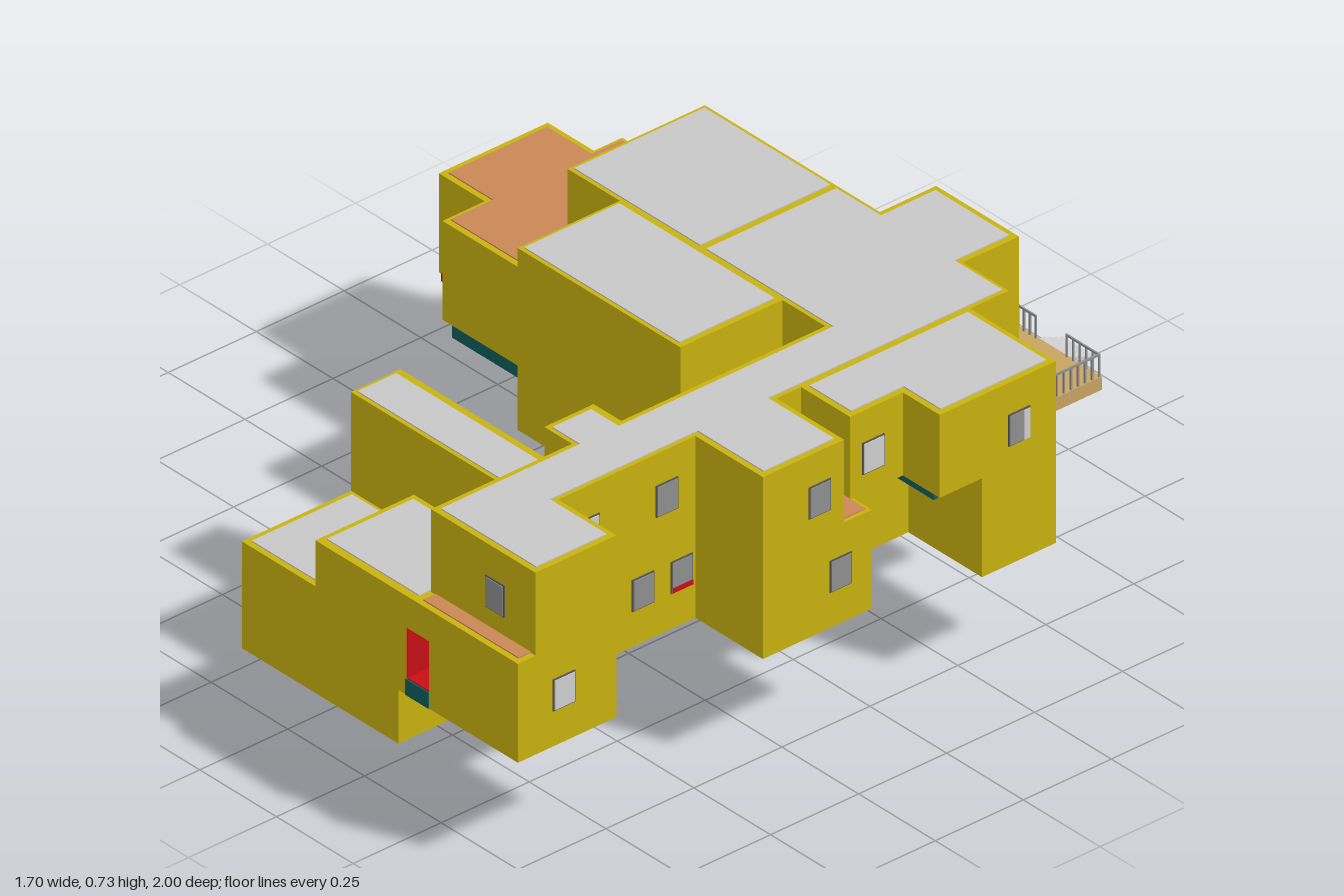
import * as THREE from 'three';

const mat = (name, color) => Object.assign(new THREE.MeshStandardMaterial({ color }), { name });

export function createModel() {
  const wall = mat('yellowWall', 0xc9b20f), roof = mat('roofGrey', 0xc7c7c7), teal = mat('tealSlab', 0x0f5c5c);
  const terrace = mat('terraceOrange', 0xc98755), wood = mat('porchTan', 0xc8a462), red = mat('redFloor', 0xc80f14);
  const grey = mat('windowGrey', 0x909090), light = mat('windowLight', 0xd0d0d0), frame = mat('frameDark', 0x555555);
  const house = new THREE.Group();
  house.name = 'house';
  const G = 0.27, M = 0.52, T = 0.73; // ground, middle and top levels

  // Box given by its bounds, with an optional colour for the underside
  const block = (name, x0, x1, y0, y1, z0, z1, m = wall, under = m) => {
    const geo = new THREE.BoxGeometry(x1 - x0, y1 - y0, z1 - z0);
    const mesh = new THREE.Mesh(geo, under === m ? m : [m, m, m, under, m, m]);
    mesh.position.set((x0 + x1) / 2, (y0 + y1) / 2, (z0 + z1) / 2);
    mesh.name = name;
    house.add(mesh);
    return mesh;
  };
  // Flat slab from an (x, z) outline
  const slab = (name, pts, y0, y1, m) => {
    const shape = new THREE.Shape(pts.map(([x, z]) => new THREE.Vector2(x, -z)));
    const geo = new THREE.ExtrudeGeometry(shape, { depth: y1 - y0, bevelEnabled: false });
    geo.rotateX(-Math.PI / 2);
    const mesh = new THREE.Mesh(geo, m);
    mesh.position.y = y0;
    mesh.name = name;
    house.add(mesh);
  };
  const rect = (x0, x1, z0, z1) => [[x0, z0], [x1, z0], [x1, z1], [x0, z1]];

  // Full-height wings
  const full = [
    ['westWing', -0.43, 0, -0.56, -0.17], ['mainWing', 0, 0.56, -0.56, -0.17], ['backStub', 0.14, 0.41, -0.72, -0.56],
    ['corridor', 0.41, 0.56, -0.17, 0.72], ['frontRoom', -0.26, 0.27, -0.17, 0.12], ['sideRoom', 0.56, 0.78, 0.1, 0.33],
    ['eastRoomBack', 0.56, 0.84, -0.45, -0.24], ['corridorLink', 0.32, 0.41, 0.41, 0.55],
  ];
  for (const [n, x0, x1, z0, z1] of full) block(n, x0, x1, G, T, z0, z1, wall, teal);

  // Upper rooms that overhang or step back
  block('endRoomUpper', 0.41, 0.75, M, T, 0.72, 0.95);
  block('eastRoomUpper', 0.56, 0.84, M, T, -0.24, -0.12, wall, teal);
  block('eastRoomStep', 0.56, 0.72, M, T, -0.12, 0.03, wall, teal);
  block('overhangSlab', 0.56, 0.82, 0.505, M, -0.24, -0.12, teal);
  block('overhangSlab', 0.56, 0.70, 0.505, M, -0.12, 0.02, teal);

  // Lower rooms
  const lower = [
    ['eastRecess', 0.56, 0.6, -0.24, 0.02], ['sideRoomLower', 0.56, 0.78, 0.02, 0.1],
    ['galleryStrip', -0.31, 0.32, 0.41, 0.55], ['terraceNook', -0.85, -0.7, -0.48, -0.17],
    ['terraceLink', -0.43, -0.26, -0.17, -0.05], ['cornerRoom', 0.27, 0.36, -0.17, -0.09],
  ];
  for (const [n, x0, x1, z0, z1] of lower) block(n, x0, x1, G, M, z0, z1, wall, teal);

  // Terrace room with a wide opening in its back wall
  const tr = rect(-0.7, -0.43, -0.56, -0.05);
  const notched = [[-0.7, -0.56], [-0.64, -0.56], [-0.64, -0.3], [-0.45, -0.3], [-0.45, -0.56], [-0.43, -0.56], [-0.43, -0.05], [-0.7, -0.05]];
  slab('terraceRoomBase', tr, G, 0.29, wall);
  slab('terraceRoomWalls', notched, 0.29, 0.48, wall);
  slab('terraceRoomTop', tr, 0.48, M, wall);
  block('openingFloor', -0.64, -0.45, 0.29, 0.293, -0.555, -0.3, red);
  block('openingCeiling', -0.64, -0.45, 0.477, 0.48, -0.555, -0.3, grey);
  block('openingBack', -0.64, -0.45, 0.293, 0.477, -0.304, -0.3, light);
  block('openingSide', -0.454, -0.45, 0.293, 0.477, -0.555, -0.304, grey);
  block('openingSide', -0.64, -0.636, 0.293, 0.477, -0.555, -0.304, light);
  block('nookSill', -0.82, -0.7, G, 0.29, -0.17, -0.15, red, teal);

  // End room with a recessed front door
  const er = rect(0.09, 0.75, 0.72, 1);
  slab('endRoomBase', er, G, 0.31, wall);
  slab('endRoomWalls', [[0.09, 0.72], [0.75, 0.72], [0.75, 1], [0.46, 1], [0.46, 0.86], [0.385, 0.86], [0.385, 1], [0.09, 1]], 0.31, 0.44, wall);
  slab('endRoomTop', er, 0.44, M, wall);
  block('doorSill', 0.385, 0.46, G, 0.31, 0.995, 1.002, teal);
  block('doorFloor', 0.385, 0.46, 0.31, 0.313, 0.86, 0.998, red);
  block('doorSide', 0.385, 0.388, 0.313, 0.44, 0.86, 0.998, red);
  block('doorPanel', 0.385, 0.425, 0.313, 0.44, 0.86, 0.865, light);
  block('doorPanel', 0.425, 0.46, 0.313, 0.44, 0.86, 0.865, grey);
  block('doorBand', 0.425, 0.46, 0.36, 0.367, 0.865, 0.868, red);
  block('endRoomUnderside', 0.1, 0.74, G - 0.004, G, 0.73, 0.99, teal);

  // Basement and the small stair beside it
  block('basement', -0.31, 0.2, 0, G, 0.42, 0.86, wall, roof);
  for (let i = 0; i < 3; i++) block('basementStep', 0.2, 0.235 - i * 0.012, 0.262 - i * 0.008, G - i * 0.008, 0.44, 0.54, light);

  // Foundation under the terrace wing
  block('foundation', -0.82, -0.68, 0.23, G, -0.47, -0.18, teal);
  block('foundation', -0.68, -0.33, 0.23, G, -0.55, -0.06, teal);

  // Roof surfaces, inset to leave yellow rims
  const roofs = [
    [rect(-0.42, -0.01, -0.55, -0.18), T], [rect(-0.25, 0.255, -0.16, 0.11), T],
    [[[0.01, -0.55], [0.155, -0.55], [0.155, -0.705], [0.395, -0.705], [0.395, -0.55], [0.55, -0.55], [0.55, 0.115],
      [0.765, 0.115], [0.765, 0.315], [0.55, 0.315], [0.55, 0.735], [0.735, 0.735], [0.735, 0.935], [0.425, 0.935],
      [0.425, 0.54], [0.335, 0.54], [0.335, 0.43], [0.425, 0.43], [0.425, -0.18], [0.01, -0.18]], T],
    [[[0.57, -0.435], [0.825, -0.435], [0.825, -0.135], [0.705, -0.135], [0.705, 0.015], [0.57, 0.015]], T],
    [rect(-0.3, 0.31, 0.43, 0.54), M], [rect(0.105, 0.405, 0.735, 0.98), M], [rect(-0.295, 0.185, 0.56, 0.845), G],
  ];
  for (const [pts, y] of roofs) slab('roofSurface', pts, y, y + 0.003, roof);
  const decks = [
    [[-0.835, -0.465], [-0.69, -0.465], [-0.69, -0.55], [-0.43, -0.55], [-0.43, -0.17], [-0.32, -0.17], [-0.32, -0.065], [-0.69, -0.065], [-0.69, -0.185], [-0.835, -0.185]],
    rect(-0.3, -0.26, -0.17, -0.065), rect(0.27, 0.35, -0.17, -0.105), rect(0.57, 0.77, 0.03, 0.1), rect(0.425, 0.735, 0.95, 0.985),
  ];
  for (const pts of decks) slab('terraceDeck', pts, M, M + 0.003, terrace);

  // Windows: wall axis, wall position, outward sign, centre along the wall, lower edge, colour, height
  const window_ = (axis, p, s, c, y, m, h = 0.08) => {
    const plate = (name, w, lo, hi, t, mm) => {
      const a = Math.min(p, p + s * t), b = Math.max(p, p + s * t);
      if (axis === 'x') block(name, a, b, lo, hi, c - w, c + w, mm);
      else block(name, c - w, c + w, lo, hi, a, b, mm);
    };
    plate('windowFrame', 0.031, y, y + h, 0.003, frame);
    plate('windowPane', 0.028, y + 0.003, y + h - 0.003, 0.005, m);
  };
  const U = 0.57, L = 0.36;
  [
    ['x', 0.56, 1, 0.635, U, light], ['x', 0.56, 1, 0.412, U, grey], ['x', 0.78, 1, 0.17, U, grey], ['x', 0.72, 1, -0.035, U, light],
    ['x', 0.84, 1, -0.345, U, grey], ['x', 0.75, 1, 0.87, L, light], ['x', 0.56, 1, 0.48, L, grey], ['x', 0.56, 1, 0.37, L, grey],
    ['x', 0.78, 1, 0.11, L, grey], ['z', 0.95, 1, 0.62, U, grey], ['z', -0.72, -1, 0.29, U, terrace], ['z', -0.72, -1, 0.29, 0.305, terrace, 0.135],
    ['z', -0.45, -1, 0.72, L, grey], ['z', -0.56, -1, 0.09, L, terrace], ['z', -0.56, -1, -0.13, L, terrace], ['z', -0.56, -1, -0.25, L, terrace],
    ['x', -0.43, -1, -0.42, U, grey], ['x', -0.43, -1, -0.26, U, grey], ['x', 0.41, -1, 0.62, U, grey], ['x', 0.09, -1, 0.79, L, light],
  ].forEach((w) => window_(...w));
  block('windowLight', 0.84, 0.847, U + 0.003, U + 0.077, -0.372, -0.355, light);
  block('windowRedBand', 0.56, 0.567, L + 0.003, L + 0.015, 0.342, 0.398, red);

  // Back porch with steps and railing
  block('porch', 0.11, 0.44, G, 0.303, -0.93, -0.72, wood);
  for (let i = 0; i < 4; i++) block('porchStep', 0.23, 0.33, G + 0.022 - i * 0.007, G + 0.028 - i * 0.007, -0.948 - i * 0.0173, -0.93 - i * 0.0173, light);
  const rail = (x0, z0, x1, z1) => {
    const n = Math.round(Math.hypot(x1 - x0, z1 - z0) / 0.02), r = 0.002;
    for (let i = 0; i <= n; i++) {
      const x = x0 + (x1 - x0) * i / n, z = z0 + (z1 - z0) * i / n;
      block('baluster', x - r, x + r, 0.303, 0.358, z - r, z + r, grey);
    }
    block('handrail', Math.min(x0, x1) - r, Math.max(x0, x1) + r, 0.356, 0.361, Math.min(z0, z1) - r, Math.max(z0, z1) + r, grey);
  };
  rail(0.114, -0.725, 0.114, -0.925);
  rail(0.436, -0.725, 0.436, -0.925);
  rail(0.114, -0.925, 0.23, -0.925);
  rail(0.33, -0.925, 0.436, -0.925);
  return house;
}
